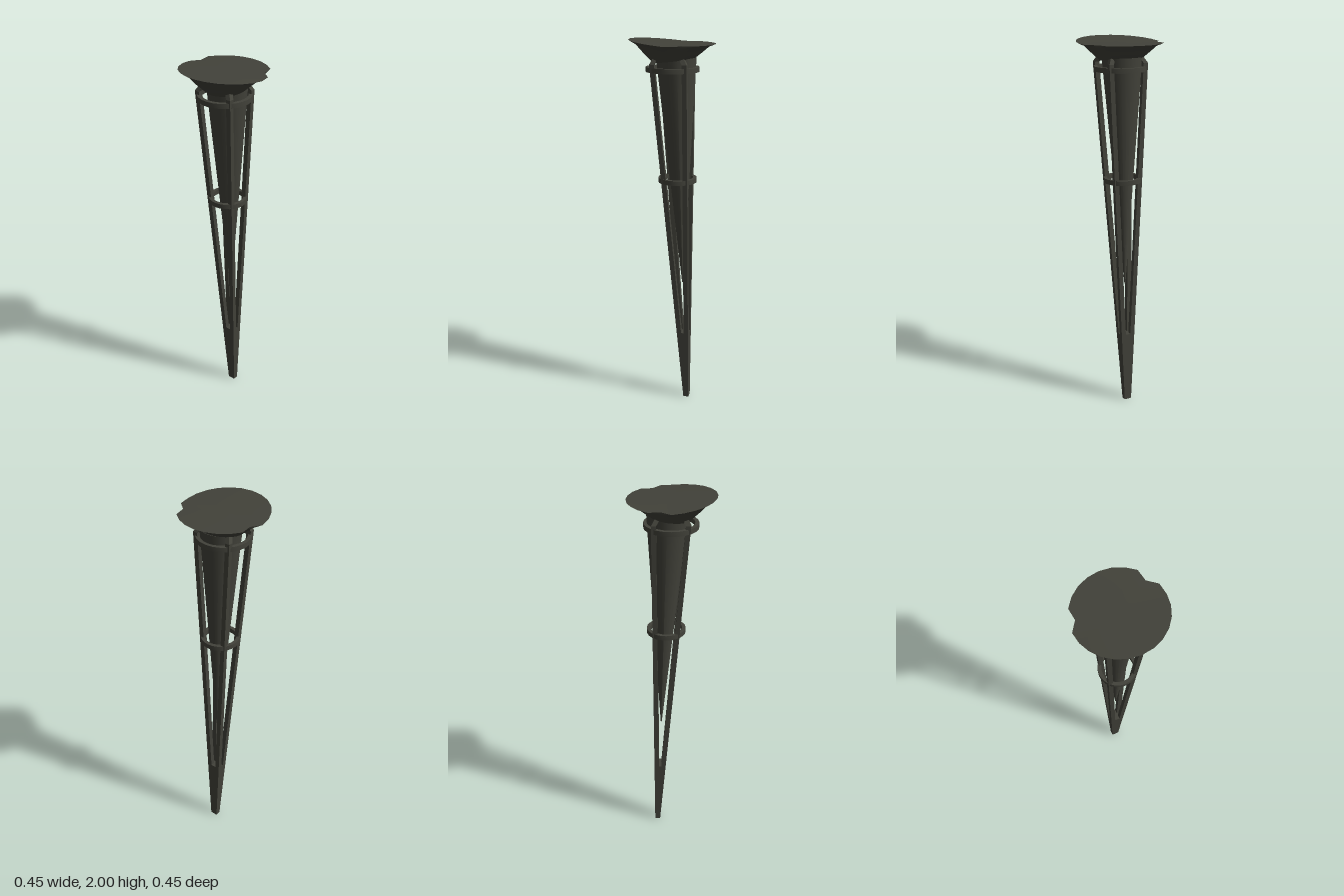
import * as THREE from 'three';
import { toCreasedNormals } from 'three/addons/utils/BufferGeometryUtils.js';

const iron = new THREE.MeshStandardMaterial({ color: 0x42423a });
iron.name = 'dark iron';

// Closed solid through a stack of rings, each a list of [x, y, z] listed from +x towards +z
function loft(rings, crease = 0.6) {
  const n = rings[0].length;
  const pos = rings.flat(2);
  const index = [];
  for (let r = 0; r < rings.length - 1; r++) {
    for (let i = 0; i < n; i++) {
      const a = r * n + i, b = r * n + (i + 1) % n;
      index.push(a, a + n, b, b, a + n, b + n);
    }
  }
  // Fan caps around the mean of the end rings
  [rings[0], rings[rings.length - 1]].forEach((ring, top) => {
    const c = pos.length / 3;
    for (let k = 0; k < 3; k++) pos.push(ring.reduce((s, p) => s + p[k], 0) / n);
    const base = top ? (rings.length - 1) * n : 0;
    for (let i = 0; i < n; i++) {
      const a = base + i, b = base + (i + 1) % n;
      if (top) index.push(c, b, a); else index.push(c, a, b);
    }
  });
  const geo = new THREE.BufferGeometry();
  geo.setAttribute('position', new THREE.Float32BufferAttribute(pos, 3));
  geo.setIndex(index);
  return toCreasedNormals(geo, crease);
}

const rect = (x0, x1, z0, z1, y) => [[x1, y, z0], [x1, y, z1], [x0, y, z1], [x0, y, z0]];
const circle = (n, r, y, cz) => Array.from({ length: n }, (_, i) => {
  const a = i / n * Math.PI * 2;
  return [r * Math.cos(a), y, cz + r * Math.sin(a)];
});

// Outer faces of the tapering frame at height y
const halfWidth = y => 0.02 + 0.09 * y / 1.9;
const frontZ = y => -0.071 + 0.166 * y / 1.9;
const backZ = -0.1;

export function createModel() {
  const group = new THREE.Group();
  const add = (name, geo) => {
    const mesh = new THREE.Mesh(geo, iron);
    mesh.name = name;
    group.add(mesh);
    return mesh;
  };

  // Solid foot
  add('foot', loft([0, 0.4].map(y => rect(-halfWidth(y), halfWidth(y), backZ, frontZ(y), y))));

  // Four corner bars, bent inwards at the top
  const w = 0.025;
  for (const sx of [-1, 1]) for (const sz of [-1, 1]) {
    const levels = [[0.38, 0], [1.88, 0], [1.91, 0.018]].map(([y, bend]) => {
      const x = sx * (halfWidth(y) - bend), xi = x - sx * w;
      const z = (sz > 0 ? frontZ(y) : backZ) - sz * bend, zi = z - sz * w;
      return rect(Math.min(x, xi), Math.max(x, xi), Math.min(z, zi), Math.max(z, zi), y);
    });
    add((sz > 0 ? 'front' : 'back') + (sx > 0 ? 'LeftBar' : 'RightBar'), loft(levels, 0.3));
  }

  // Flat hoops tying the bars together
  for (const [name, y, z, outer, inner] of [
    ['upperHoop', 1.85, -0.003, 0.138, 0.118],
    ['lowerHoop', 1.272, -0.03, 0.102, 0.083],
  ]) {
    const h = 0.0125;
    const profile = [[inner, -h], [outer, -h], [outer, h], [inner, h], [inner, -h]]
      .map(p => new THREE.Vector2(...p));
    const hoop = add(name, toCreasedNormals(new THREE.LatheGeometry(profile, 24), 0.6));
    hoop.position.set(0, y, z);
  }

  // Long pointed cone
  add('cone', loft([circle(24, 0.003, 0.69, -0.06), circle(24, 0.104, 1.91, -0.022)]));

  // Flared bowl, its filled rim raised at the front and dented at two points
  const bowl = [
    [0.108, 1.895, -0.013, -0.012],
    [0.15, 1.93, -0.006, -0.006],
    [0.19, 1.966, 0, -0.002],
    [0.224, 1.978, 0, 0],
  ].map(([r, y, tilt, cz], k) => circle(24, r, y, cz).map(([x, py, z], i) => {
    const dent = k === 3 && (i === 22 || i === 13) ? 0.87 : 1;
    const s = (z - cz) / r;
    const raise = Math.max(0, s) * [0, 0.004, 0.012, 0.022][k];
    return [x * dent, py + tilt * s + raise, z * dent];
  }));
  add('bowl', loft(bowl));

  return group;
}
